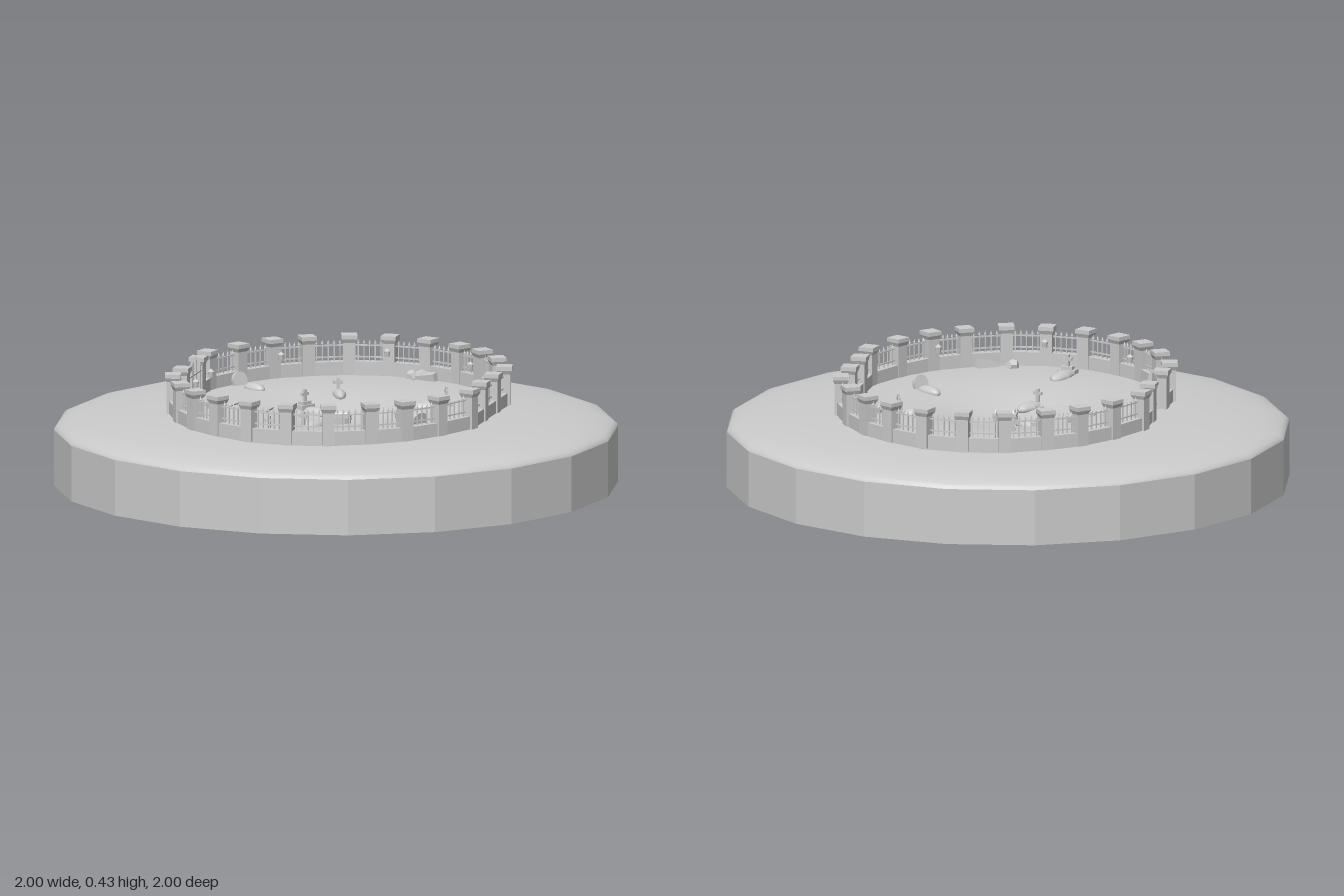
import * as THREE from 'three';

const mat = new THREE.MeshStandardMaterial({ color: 0xcccccc, side: THREE.DoubleSide });
const flat = new THREE.MeshStandardMaterial({ color: 0xcccccc, side: THREE.DoubleSide, flatShading: true });

// Height of the ground: a flattened dome with a shallow hollow in the middle
const domeY = (r) => 0.2 + 0.08 * Math.sqrt(Math.max(0, 1 - Math.pow(r, 2.8))) - 0.065 * Math.exp(-((r / 0.28) ** 2));
const groundY = (x, z) => domeY(Math.hypot(x, z));

function add(parent, name, geometry, x, y, z, material = flat) {
  const mesh = new THREE.Mesh(geometry, material);
  mesh.name = name;
  mesh.position.set(x, y, z);
  parent.add(mesh);
  return mesh;
}

const box = (w, h, d) => new THREE.BoxGeometry(w, h, d);

function group(parent, name, x, y, z, turn = 0) {
  const g = new THREE.Group();
  g.name = name;
  g.position.set(x, y, z);
  g.rotation.y = turn;
  parent.add(g);
  return g;
}

// Wall pillar with a flared cap
function pillar(parent, x, z, turn) {
  const g = group(parent, 'pillar', x, 0, z, turn);
  add(g, 'pillarShaft', box(0.044, 0.12, 0.044), 0, 0.328, 0);
  const flare = new THREE.CylinderGeometry(0.04, 0.031, 0.014, 4).rotateY(Math.PI / 4);
  add(g, 'pillarCapFlare', flare, 0, 0.389, 0);
  add(g, 'pillarCap', box(0.056, 0.014, 0.056), 0, 0.403, 0);
}

// One upright iron bar with a spear tip
function bar(parent, x, bottom, top) {
  add(parent, 'bar', box(0.004, top - bottom, 0.004), x, (top + bottom) / 2, 0);
  add(parent, 'spearTip', new THREE.ConeGeometry(0.005, 0.014, 4), x, top + 0.006, 0);
}

// Low wall and railing between two pillars
function fencePanel(parent, a, b) {
  const dx = b[0] - a[0], dz = b[1] - a[1];
  const length = Math.hypot(dx, dz);
  const g = group(parent, 'fencePanel', (a[0] + b[0]) / 2, 0, (a[1] + b[1]) / 2, Math.atan2(-dz, dx));
  add(g, 'lowWall', box(length + 0.012, 0.066, 0.034), 0, 0.282, 0);
  for (const y of [0.33, 0.372]) add(g, 'rail', box(length, 0.005, 0.005), 0, y, 0);
  const count = 5;
  for (let i = 0; i < count; i++) {
    bar(g, ((i + 0.5) / count - 0.5) * (length - 0.045), 0.315, 0.38);
  }
}

// Double gate with an arched top, hung between two pillars
function gate(parent, x, span) {
  const g = group(parent, 'gate', x, 0, 0, Math.PI / 2);
  for (const y of [0.29, 0.365]) add(g, 'gateRail', box(span, 0.005, 0.005), 0, y, 0);
  const count = 10;
  for (let i = 0; i < count; i++) {
    const t = ((i + 0.5) / count) * 2 - 1;
    bar(g, t * span * 0.45, 0.275, 0.38 + 0.04 * (1 - t * t));
  }
}

// Headstones: plain cross, cross on a plinth, or rounded slab
function headstone(parent, kind, y, z) {
  const g = group(parent, 'headstone', 0, y, z);
  if (kind === 'slab') {
    const s = new THREE.Shape();
    s.moveTo(-0.026, -0.03);
    s.lineTo(0.026, -0.03);
    s.lineTo(0.03, 0.018);
    s.absarc(0, 0.018, 0.03, 0, Math.PI, false);
    s.closePath();
    const geometry = new THREE.ExtrudeGeometry(s, { depth: 0.014, bevelEnabled: false, curveSegments: 5 });
    add(g, 'roundedSlab', geometry, 0, 0, -0.007);
    g.rotation.x = 0.25;
    return;
  }
  const lift = kind === 'plinth' ? 0.02 : 0;
  if (lift) {
    add(g, 'plinthBase', box(0.066, 0.045, 0.038), 0, -0.008, 0);
    add(g, 'plinthStep', box(0.042, 0.012, 0.026), 0, 0.02, 0);
  }
  add(g, 'crossPost', box(0.012, 0.06, 0.01), 0, 0.018 + lift, 0);
  add(g, 'crossArm', box(0.034, 0.011, 0.01), 0, 0.032 + lift, 0);
}

// Earth mound tapering to the foot, headstone at the head
function grave(parent, [x, z, hx, hz, kind, length, width]) {
  const dx = hx - x, dz = hz - z;
  const y = groundY(x, z);
  const g = group(parent, 'grave', x, y, z, Math.atan2(dx, dz));
  const mound = new THREE.SphereGeometry(1, 12, 8);
  const p = mound.attributes.position;
  for (let i = 0; i < p.count; i++) {
    const zz = Math.sign(p.getZ(i)) * Math.pow(Math.abs(p.getZ(i)), 0.75);
    const taper = 0.95 + 0.2 * zz;
    p.setXYZ(i, p.getX(i) * taper * width / 2, p.getY(i) * 0.02, zz * length / 2);
  }
  mound.computeVertexNormals();
  add(g, 'mound', mound, 0, 0, 0, mat);
  headstone(g, kind, groundY(hx, hz) - y, Math.hypot(dx, dz));
}

export function createModel() {
  const model = new THREE.Group();
  model.name = 'graveyard';

  // Open-bottomed island with a domed, hollowed top
  add(model, 'islandRim', new THREE.CylinderGeometry(1, 1, 0.2, 20, 1, true), 0, 0.1, 0);
  const profile = [];
  for (let i = 0; i <= 18; i++) {
    const r = Math.cos((i / 18) * Math.PI / 2);
    profile.push(new THREE.Vector2(r, domeY(r)));
  }
  add(model, 'domedGround', new THREE.LatheGeometry(profile, 20), 0, 0, 0, mat);

  // Fence ring: one quarter mirrored around, starting and ending at the gate
  const cx = 0.01;
  const quarter = [[0.545, 0.08], [0.545, 0.23], [0.475, 0.385], [0.385, 0.51], [0.28, 0.59], [0.145, 0.66]];
  const back = quarter.map(([x, z]) => [cx + x, -z]).reverse();
  const front = quarter.map(([x, z]) => [cx + x, z]);
  const left = (s) => quarter.map(([x, z], i) => [cx - x, s * (i ? z : 0.105)]);
  const ring = [...left(-1), [cx, -0.68], ...back, ...front, [cx, 0.68], ...left(1).reverse()];
  const fence = group(model, 'fence', 0, 0, 0);
  ring.forEach(([x, z], i) => {
    const a = ring[Math.max(i - 1, 0)], b = ring[Math.min(i + 1, ring.length - 1)];
    pillar(fence, x, z, Math.atan2(a[1] - b[1], b[0] - a[0]));
    if (i) fencePanel(fence, a, ring[i]);
  });
  gate(fence, cx - 0.53, 0.17);

  // Small lanterns on the inner side of some pillars
  const lanterns = [[cx, 0.64], [-0.335, 0.48], [0.36, 0.48], [-0.487, 0.1]];
  for (const [x, z] of lanterns) {
    for (const s of [1, -1]) {
      const g = group(model, 'lantern', x, 0.35, s * z);
      add(g, 'lanternGlass', new THREE.CylinderGeometry(0.012, 0.009, 0.02, 8), 0, 0, 0);
      add(g, 'lanternCap', new THREE.ConeGeometry(0.013, 0.01, 8), 0, 0.015, 0);
    }
  }

  // Graves: mound x, z, head x, z, headstone kind, length, width
  [
    [-0.375, -0.28, -0.445, -0.335, 'slab', 0.1, 0.06],
    [-0.07, -0.3, -0.088, -0.345, 'cross', 0.1, 0.05],
    [-0.1, -0.1, -0.15, -0.125, 'plinth', 0.12, 0.062],
    [-0.04, 0.155, -0.062, 0.208, 'cross', 0.12, 0.066],
    [0.3, -0.14, 0.36, -0.165, 'plinth', 0.12, 0.062],
    [0.325, 0.185, 0.365, 0.22, 'slab', 0.11, 0.058],
    [-0.082, 0.49, -0.092, 0.555, 'plinth', 0.14, 0.072],
  ].forEach((g) => grave(model, g));

  // Stone coffin at the centre of the hollow
  const coffin = group(model, 'coffin', 0.01, groundY(0.01, 0), 0, 0.08);
  const body = add(coffin, 'coffinBody', new THREE.CylinderGeometry(0.5, 0.44, 0.06, 10), 0, -0.005, 0);
  body.scale.set(0.094, 1, 0.056);
  add(coffin, 'coffinLid', box(0.085, 0.01, 0.046), 0, 0.029, 0);
  const lid = add(coffin, 'coffinLidTop', new THREE.CylinderGeometry(0.018, 0.018, 0.07, 8), 0, 0.034, 0);
  lid.rotation.z = Math.PI / 2;
  lid.scale.x = 0.7;

  // Stepping stones from the gate, sunk into the slope
  [-0.45, -0.375, -0.305, -0.255, -0.2].forEach((x, i) => {
    const stone = add(model, 'steppingStone', box(0.026, 0.012, 0.1 - 0.006 * i), x, groundY(x, 0), 0);
    stone.rotation.y = [0.08, -0.2, 0.12, -0.06, 0.15][i];
    stone.rotation.z = -0.12;
  });

  // Loose rocks and broken slabs by the wall
  [[0.12, 0.605, 0.026], [0.105, -0.635, 0.026], [0.14, -0.628, 0.03]].forEach(([x, z, r], i) => {
    const rock = add(model, 'rock', new THREE.DodecahedronGeometry(r), x, groundY(x, z) + 0.006, z);
    rock.rotation.set(i, i * 2, 0.4);
  });
  [[0.215, 0.605, 0.6], [0.165, -0.62, -0.2]].forEach(([x, z, turn]) => {
    const slab = add(model, 'brokenSlab', box(0.075, 0.04, 0.045), x, groundY(x, z) + 0.004, z);
    slab.rotation.set(0.15, turn, 0.2);
  });

  return model;
}
